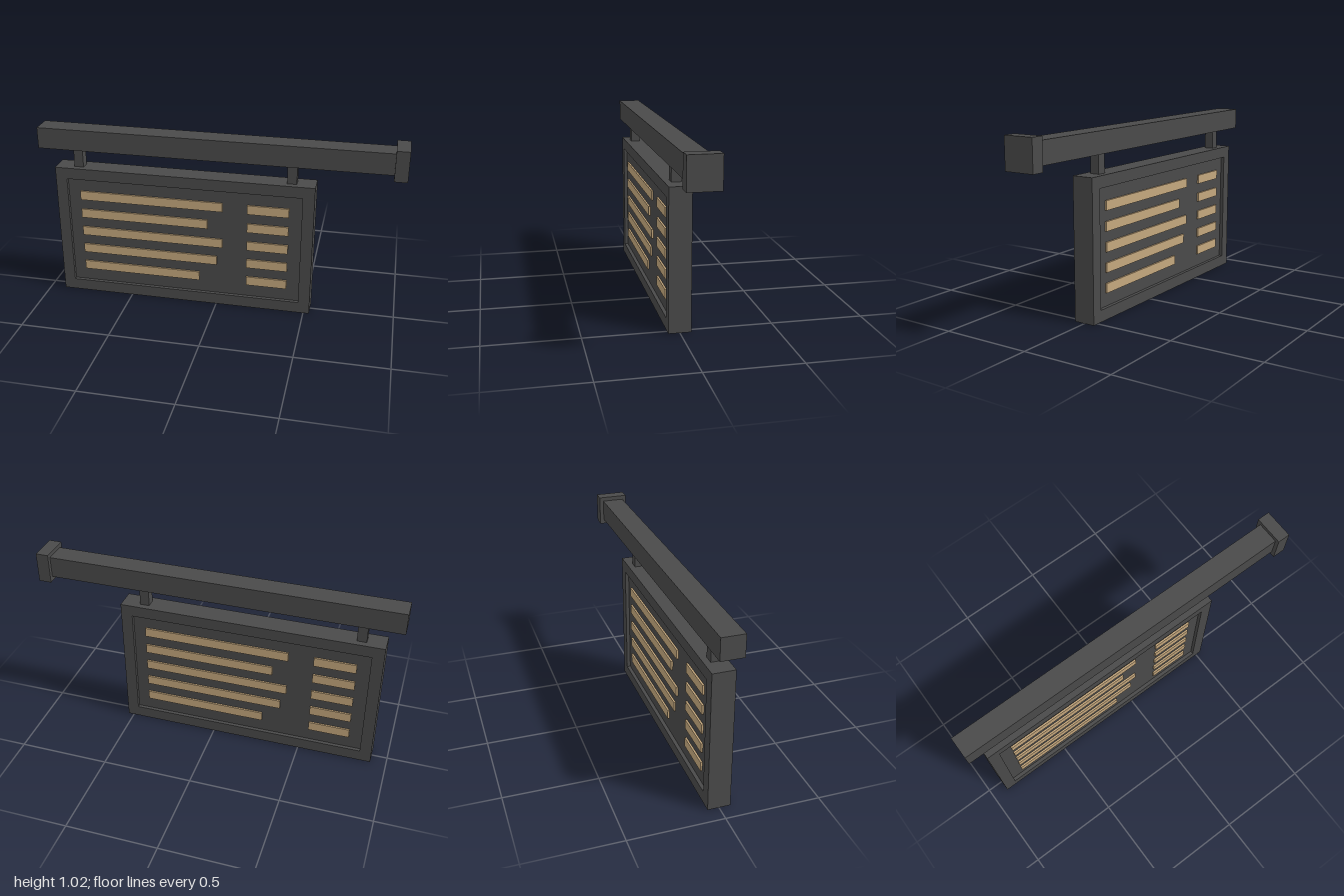
import * as THREE from 'three';

export function createModel() {
  const model = new THREE.Group();
  const iron = new THREE.MeshStandardMaterial({ color: 0x4a4a4a });
  iron.name = 'dark iron';
  const tan = new THREE.MeshStandardMaterial({ color: 0xc4a77d });
  tan.name = 'tan lettering bars';

  // Box given by its minimum and maximum in x and y, and its z centre and depth
  function box(parent, name, material, x0, x1, y0, y1, depth, z = 0) {
    const mesh = new THREE.Mesh(new THREE.BoxGeometry(x1 - x0, y1 - y0, depth), material);
    mesh.position.set((x0 + x1) / 2, (y0 + y1) / 2, z);
    mesh.name = name;
    parent.add(mesh);
  }

  // Bracket beam with wall mount
  box(model, 'beam', iron, -1, 0.93, 0.875, 0.993, 0.122);
  box(model, 'wallMount', iron, 0.93, 1, 0.849, 1.016, 0.166);

  // Sign board, centred on its own x
  const board = new THREE.Group();
  board.name = 'signBoard';
  board.position.x = -0.19;
  model.add(board);
  const W = 0.723, H = 0.767, rim = 0.064, depth = 0.12, recess = 0.02;

  // Hangers
  for (const s of [-1, 1]) {
    box(board, 'hanger', iron, s * 0.595 - 0.026, s * 0.595 + 0.026, H, 0.875, 0.052);
  }

  // Raised frame with a rectangular opening
  const outline = new THREE.Shape([[-W, 0], [W, 0], [W, H], [-W, H]].map(p => new THREE.Vector2(...p)));
  const a = W - rim, b = H - rim;
  outline.holes.push(new THREE.Path([[-a, rim], [-a, b], [a, b], [a, rim]].map(p => new THREE.Vector2(...p))));
  const frameGeometry = new THREE.ExtrudeGeometry(outline, { depth, bevelEnabled: false });
  frameGeometry.translate(0, 0, -depth / 2);
  const frame = new THREE.Mesh(frameGeometry, iron);
  frame.name = 'frame';
  board.add(frame);

  // Recessed panel
  box(board, 'panel', iron, -a, a, rim, b, depth - 2 * recess);

  // Menu lines on both faces: a long bar and a short bar per row
  const lineEnds = [0.222, 0.138, 0.222, 0.19, 0.09];
  for (const side of ['front', 'back']) {
    const face = new THREE.Group();
    face.name = side + 'Lines';
    if (side === 'back') face.rotation.y = Math.PI;
    const z = depth / 2 - recess + 0.005;
    lineEnds.forEach((end, i) => {
      const y = 0.603 - i * 0.11;
      box(face, 'longLine', tan, -0.59, end, y - 0.026, y + 0.026, 0.0098, z);
      box(face, 'shortLine', tan, 0.36, 0.588, y - 0.026, y + 0.026, 0.0098, z);
    });
    board.add(face);
  }
  return model;
}
